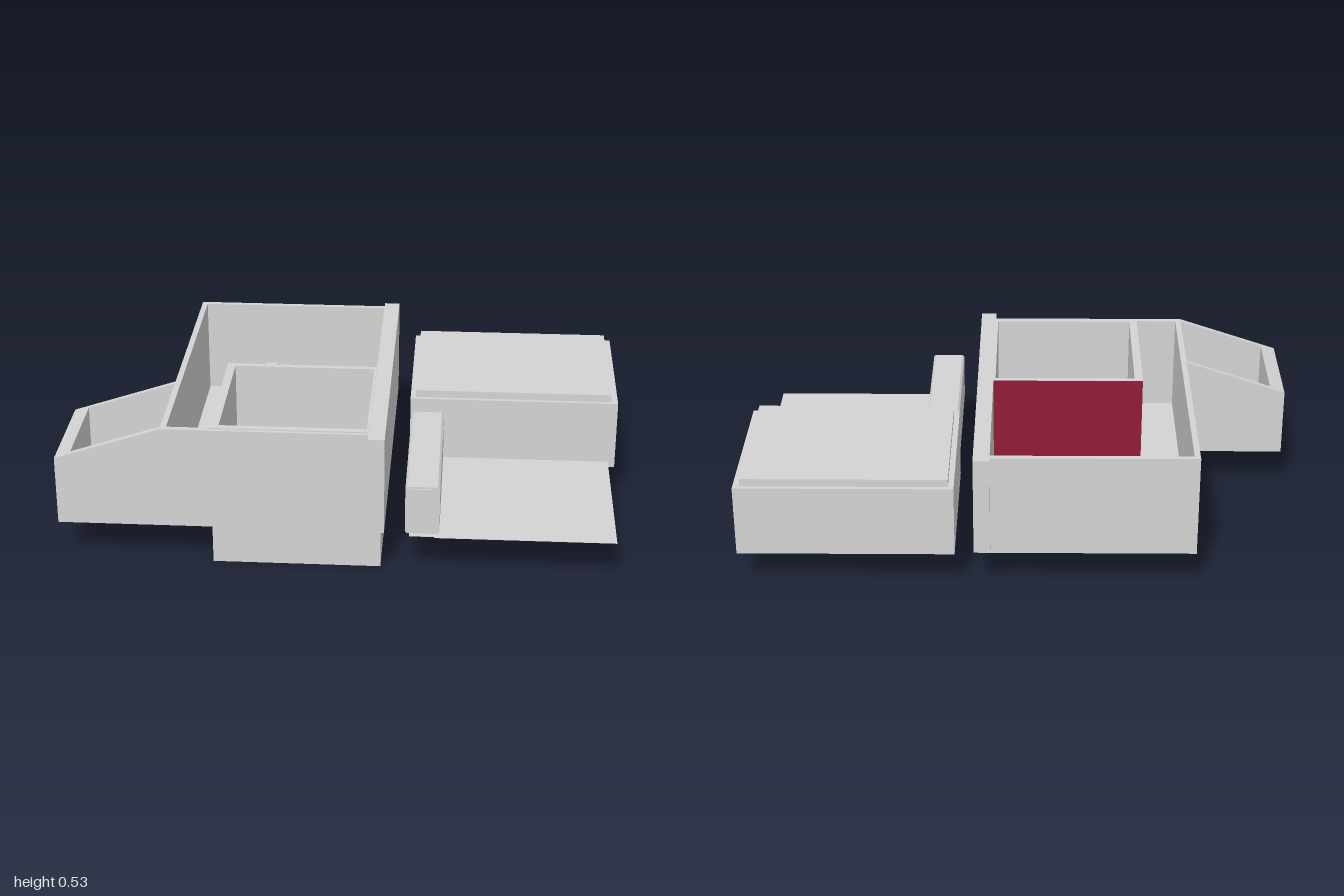
import * as THREE from 'three';

export function createModel() {
  const model = new THREE.Group();
  model.name = 'houseModel';
  const grey = new THREE.MeshStandardMaterial({ color: 0xd4d4d4 });
  grey.name = 'concrete grey';
  const maroon = new THREE.MeshStandardMaterial({ color: 0x921b38 });
  maroon.name = 'maroon';

  const add = (name, geometry, material = grey) => {
    const mesh = new THREE.Mesh(geometry, material);
    mesh.name = name;
    model.add(mesh);
  };

  // Box given by its bounds on each axis
  const block = (name, [x0, x1], [y0, y1], [z0, z1]) => {
    const g = new THREE.BoxGeometry(x1 - x0, y1 - y0, z1 - z0);
    add(name, g.translate((x0 + x1) / 2, (y0 + y1) / 2, (z0 + z1) / 2));
  };

  // Floor plan of [x, z] points raised from y0 to y1, with an optional hole
  const plan = (name, points, y0, y1, hole) => {
    const toVectors = (list) => list.map(([x, z]) => new THREE.Vector2(x, -z));
    const shape = new THREE.Shape(toVectors(points));
    if (hole) shape.holes.push(new THREE.Path(toVectors(hole)));
    const g = new THREE.ExtrudeGeometry(shape, { depth: y1 - y0, bevelEnabled: false });
    add(name, g.rotateX(-Math.PI / 2).translate(0, y0, 0));
  };
  const rect = (x0, x1, z0, z1) => [[x0, z0], [x0, z1], [x1, z1], [x1, z0]];

  // Front profile of [x, y] points run from z0 to z1
  const profile = (name, points, z0, z1) => {
    const shape = new THREE.Shape(points.map(([x, y]) => new THREE.Vector2(x, y)));
    const g = new THREE.ExtrudeGeometry(shape, { depth: z1 - z0, bevelEnabled: false });
    add(name, g.translate(0, 0, z0));
  };

  // Main room: L-shaped floor and outer walls, open at the top
  plan('mainFloor', [[-0.623, -0.603], [-0.623, 0.568], [-0.45, 0.568], [-0.45, 0],
    [0.148, 0], [0.148, -0.603]], 0.147, 0.165);
  plan('mainWalls', [[0.104, -0.603], [-0.623, -0.603], [-0.623, 0.568], [0.104, 0.568],
    [0.104, 0.546], [-0.602, 0.546], [-0.602, -0.583], [0.104, -0.583]], 0.147, 0.525);
  block('post', [-0.358, -0.313], [0.165, 0.335], [-0.452, -0.41]);

  // Long dividing wall
  block('dividingWall', [0.104, 0.162], [0.165, 0.527], [-0.63, 0.609]);

  // Deep front room reaching down to the ground
  const inside = rect(-0.42, 0.096, 0.022, 0.53);
  block('basementFloor', [-0.43, 0.13], [0, 0.02], [0.01, 0.54]);
  plan('basementWalls', rect(-0.45, 0.148, 0, 0.555), 0, 0.165, inside);
  plan('frontRoomWalls', rect(-0.45, 0.104, 0, 0.555), 0.165, 0.529, inside);

  // Painted back face of the front room, above and below the main floor
  const paint = (name, x1, y0, y1) => {
    const g = new THREE.PlaneGeometry(x1 + 0.45, y1 - y0).rotateY(Math.PI);
    add(name, g.translate((x1 - 0.45) / 2, (y0 + y1) / 2, -0.002), maroon);
  };
  paint('maroonWallLower', 0.148, 0, 0.147);
  paint('maroonWallUpper', 0.104, 0.165, 0.529);

  // Side annex with a sloping rim
  const rimHeight = (x) => 0.4 + ((x + 1) / 0.377) * 0.125;
  const slopedWall = (name, x1, z0, z1) =>
    profile(name, [[-1, 0.147], [x1, 0.147], [x1, rimHeight(x1)], [-1, 0.4]], z0, z1);
  slopedWall('annexBackWall', -0.623, 0.167, 0.187);
  slopedWall('annexFrontWall', -0.623, 0.546, 0.568);
  slopedWall('annexEndWall', -0.945, 0.187, 0.546);
  block('annexFloor', [-0.945, -0.623], [0.147, 0.165], [0.187, 0.546]);

  // Separate room with a raised roof slab
  block('sideRoom', [0.23, 1], [0.14, 0.402], [-0.603, -0.005]);
  block('sideRoomRoof', [0.25, 0.975], [0.402, 0.43], [-0.587, -0.02]);

  // Thin terrace sheet, and the strip beneath the low wall
  block('terrace', [0.338, 0.975], [0.16, 0.1615], [-0.005, 0.625]);
  block('terraceStrip', [0.25, 0.338], [0.162, 0.165], [-0.005, 0.622]);

  // Low wall with clipped corners and a raised end panel
  const clipped = (x0, x1, y0, y1, c) => [[x0 + c, y0], [x1 - c, y0], [x1, y0 + c], [x1, y1 - c],
    [x1 - c, y1], [x0 + c, y1], [x0, y1 - c], [x0, y0 + c]];
  profile('terraceWall', clipped(0.235, 0.356, 0.165, 0.348, 0.008), -0.005, 0.604);
  profile('terraceWallEndPanel', clipped(0.25, 0.34, 0.172, 0.341, 0.006), 0.604, 0.61);

  return model;
}
